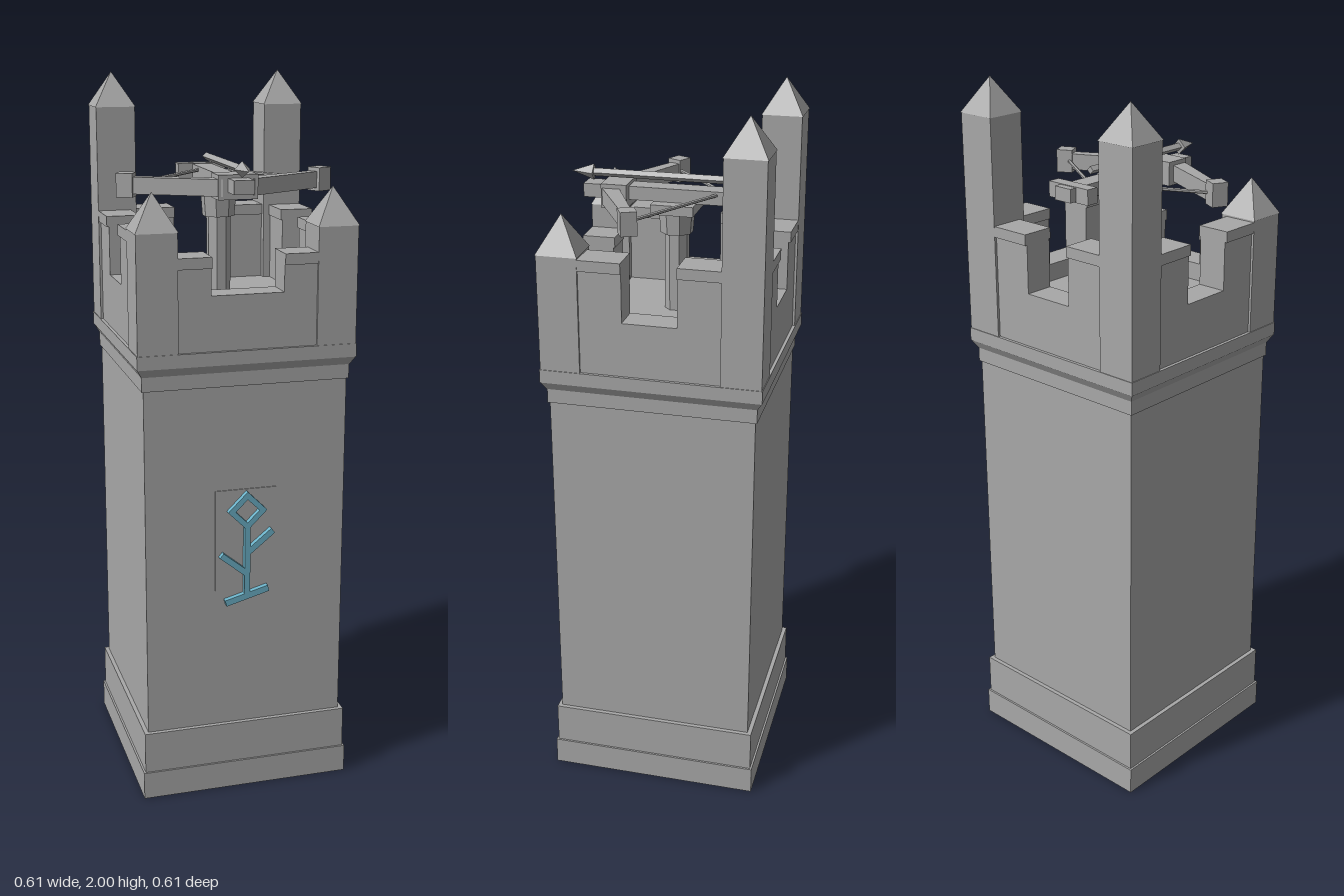
import * as THREE from 'three';

export function createModel() {
  const stone = new THREE.MeshStandardMaterial({ color: 0xa8a8a8, flatShading: true });
  stone.name = 'grey stone';
  const blue = new THREE.MeshStandardMaterial({ color: 0x6cb2c8, flatShading: true });
  blue.name = 'blue inlay';

  const tower = new THREE.Group();
  tower.name = 'tower';

  const add = (parent, name, geo, x, y, z, mat = stone) => {
    const mesh = new THREE.Mesh(geo, mat);
    mesh.name = name;
    mesh.position.set(x, y, z);
    parent.add(mesh);
    return mesh;
  };
  // box given by its centre in x and z and its bottom and top heights
  const block = (parent, name, w, d, y0, y1, x = 0, z = 0) =>
    add(parent, name, new THREE.BoxGeometry(w, y1 - y0, d), x, (y0 + y1) / 2, z);
  // square frustum, half widths at top and bottom
  const frustum = (parent, name, top, bottom, y0, y1, x = 0, z = 0) => {
    const geo = new THREE.CylinderGeometry(top * Math.SQRT2, bottom * Math.SQRT2, y1 - y0, 4);
    geo.rotateY(Math.PI / 4);
    return add(parent, name, geo, x, (y0 + y1) / 2, z);
  };
  const group = (parent, name) => {
    const g = new THREE.Group();
    g.name = name;
    parent.add(g);
    return g;
  };

  // body and mouldings
  block(tower, 'plinth', 0.605, 0.605, 0, 0.08);
  block(tower, 'upperPlinth', 0.594, 0.594, 0.08, 0.2);
  block(tower, 'shaft', 0.57, 0.57, 0.2, 1.2);
  block(tower, 'neckBand', 0.58, 0.58, 1.2, 1.24);
  frustum(tower, 'flare', 0.304, 0.291, 1.24, 1.263);
  block(tower, 'cornice', 0.61, 0.61, 1.263, 1.3);
  block(tower, 'platform', 0.58, 0.58, 1.3, 1.4);

  // notched parapet walls: front, left, back, right
  for (let i = 0; i < 4; i++) {
    const wall = group(tower, 'parapetWall');
    wall.rotation.y = i * Math.PI / 2;
    const gap = i === 0 ? 0.1 : 0.075;
    const top = i === 0 ? 1.553 : 1.615;
    block(wall, 'wallBase', 0.46, 0.083, 1.3, 1.45, 0, 0.2545);
    for (const s of [-1, 1]) {
      const w = 0.215 - gap, x = s * (gap + w / 2);
      block(wall, 'merlon', w, 0.083, 1.45, top - 0.03, x, 0.2545);
      block(wall, 'merlonCap', w, 0.094, top - 0.03, top, x, 0.2555);
    }
  }

  // corner turrets, the rear pair taller
  for (const x of [-0.2475, 0.2475]) {
    for (const z of [-0.2475, 0.2475]) {
      const top = z < 0 ? 1.905 : 1.62;
      block(tower, 'turret', 0.111, 0.111, 1.3, top, x, z);
      frustum(tower, 'turretRoof', 0, 0.0575, top, top + (z < 0 ? 0.095 : 0.1), x, z);
    }
  }

  // flower relief on a thin front panel
  const relief = group(tower, 'flowerRelief');
  block(relief, 'reliefPanel', 0.176, 0.008, 0.545, 0.905, 0, 0.284);
  const strip = (name, x0, y0, x1, y1, w) => {
    const geo = new THREE.BoxGeometry(Math.hypot(x1 - x0, y1 - y0), w, 0.017);
    add(relief, name, geo, (x0 + x1) / 2, (y0 + y1) / 2, 0.2955, blue)
      .rotation.z = Math.atan2(y1 - y0, x1 - x0);
  };
  strip('stem', 0, 0.6, 0, 0.795, 0.016);
  strip('rightLeaf', 0, 0.722, 0.074, 0.782, 0.017);
  strip('leftLeaf', 0, 0.66, -0.074, 0.72, 0.017);
  strip('ground', -0.062, 0.577, 0.062, 0.611, 0.018);
  const diamond = (r) => [[0, r], [-r, 0], [0, -r], [r, 0]].map(([x, y]) => new THREE.Vector2(x, y));
  const bloom = new THREE.Shape(diamond(0.056));
  bloom.holes.push(new THREE.Path(diamond(0.034).reverse()));
  add(relief, 'bloom', new THREE.ExtrudeGeometry(bloom, { depth: 0.017, bevelEnabled: false }),
    0, 0.845, 0.287, blue);

  // mounted siege bow
  const bow = group(tower, 'siegeBow');
  add(bow, 'pedestal', new THREE.CylinderGeometry(0.034, 0.034, 0.24, 8), 0, 1.51, 0).rotation.y = Math.PI / 8;
  add(bow, 'swivel', new THREE.CylinderGeometry(0.05, 0.045, 0.065, 8), 0, 1.65, 0).rotation.y = Math.PI / 8;
  block(bow, 'mountPlate', 0.126, 0.118, 1.678, 1.705);
  block(bow, 'stock', 0.056, 0.49, 1.705, 1.742, 0, 0.01);
  block(bow, 'rearCrossbar', 0.14, 0.036, 1.702, 1.744, 0, -0.196);
  block(bow, 'bowBlock', 0.11, 0.071, 1.685, 1.751, 0, 0.1625);

  const angle = 0.468;
  for (const s of [-1, 1]) {
    // arm tapering outward
    const geo = new THREE.BoxGeometry(0.26, 0.045, 0.045);
    const p = geo.attributes.position;
    for (let i = 0; i < p.count; i++) {
      if (p.getX(i) * s > 0) p.setZ(i, p.getZ(i) * 0.65);
    }
    geo.computeVertexNormals();
    add(bow, 'bowArm', geo, s * 0.149, 1.717, 0.122).rotation.y = s * angle;
    add(bow, 'armTip', new THREE.BoxGeometry(0.045, 0.064, 0.044), s * 0.274, 1.718, 0.062)
      .rotation.y = s * angle;
    // string from arm tip to stock
    const a = new THREE.Vector3(s * 0.256, 1.718, 0.054);
    const b = new THREE.Vector3(s * 0.024, 1.732, -0.115);
    add(bow, 'bowString', new THREE.TubeGeometry(new THREE.LineCurve3(a, b), 1, 0.005, 6), 0, 0, 0);
  }

  // bolt: diamond-section rod with a pointed head
  add(bow, 'boltRod', new THREE.CylinderGeometry(0.011, 0.011, 0.365, 4), 0, 1.768, 0.0525)
    .rotation.x = Math.PI / 2;
  add(bow, 'boltHead', new THREE.ConeGeometry(0.022, 0.063, 4), 0, 1.768, 0.264)
    .rotation.x = Math.PI / 2;

  return tower;
}
